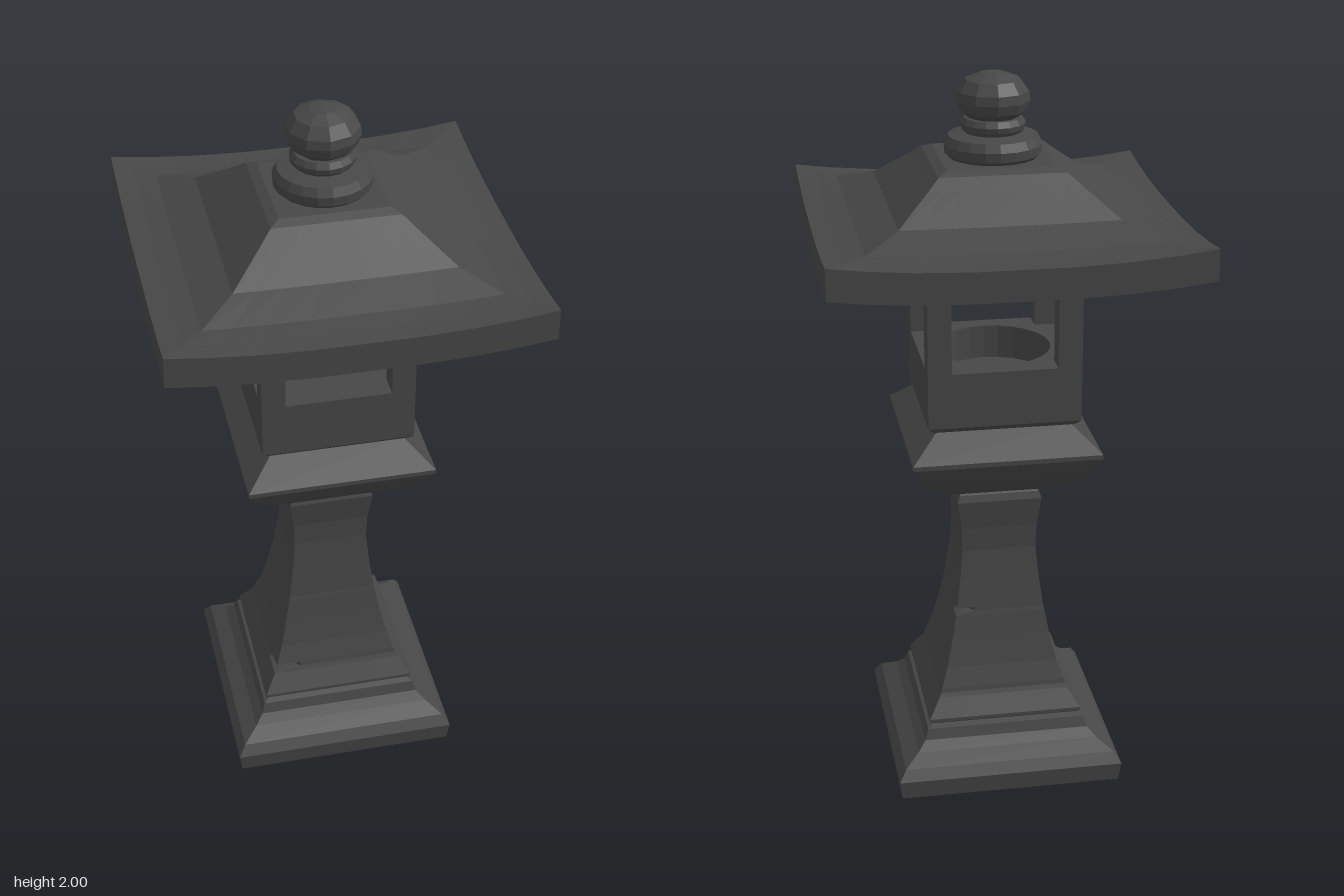
import * as THREE from 'three';

const stone = new THREE.MeshStandardMaterial({ color: 0x474747 });
stone.name = 'dark stone';

// Unshared corners give every facet a flat normal
function part(name, geometry, y = 0) {
  const flat = geometry.index ? geometry.toNonIndexed() : geometry;
  flat.computeVertexNormals();
  const mesh = new THREE.Mesh(flat, stone);
  mesh.name = name;
  mesh.position.y = y;
  return mesh;
}

// Square outline; steps are fractions along each side, lift raises the corners
function squareRing(half, y, lift = 0, steps = [-1], depth = 1) {
  const ring = [];
  for (let side = 0; side < 4; side++) {
    for (const t of steps) {
      const p = new THREE.Vector3(half * t, y + lift * Math.abs(t) ** 2.5, half);
      p.applyAxisAngle(new THREE.Vector3(0, 1, 0), side * Math.PI / 2);
      p.z *= depth;
      ring.push(p);
    }
  }
  return ring;
}

// Skin rings listed from the bottom up and close both ends
function loft(rings) {
  const n = rings[0].length, pos = [], index = [];
  rings.forEach(r => r.forEach(p => pos.push(p.x, p.y, p.z)));
  for (let i = 0; i < rings.length - 1; i++) {
    for (let j = 0; j < n; j++) {
      const k = (j + 1) % n, a = i * n, b = a + n;
      index.push(a + j, a + k, b + k, a + j, b + k, b + j);
    }
  }
  const last = (rings.length - 1) * n, low = rings.length * n;
  pos.push(0, rings[0][0].y, 0, 0, rings[rings.length - 1][0].y, 0);
  for (let j = 0; j < n; j++) {
    const k = (j + 1) % n;
    index.push(low, k, j, low + 1, last + j, last + k);
  }
  const g = new THREE.BufferGeometry();
  g.setAttribute('position', new THREE.Float32BufferAttribute(pos, 3));
  g.setIndex(index);
  return g;
}

const squareLoft = (profile, depth) => loft(profile.map(([h, y]) => squareRing(h, y, 0, [-1], depth)));

function turned(profile, sides) {
  return new THREE.LatheGeometry(profile.map(([r, y]) => new THREE.Vector2(r, y)), sides);
}

export function createModel() {
  const lantern = new THREE.Group();
  lantern.name = 'stoneLantern';

  // Stepped foot
  lantern.add(part('base', squareLoft([
    [0.313, 0], [0.32, 0.055], [0.3, 0.085], [0.258, 0.112], [0.235, 0.135], [0.225, 0.165], [0.205, 0.172],
  ], 1.03)));

  // Flared column, with a chip cut into two opposite corners
  const steps = [-1, -0.6, 0.6];
  const columnRings = [
    [0.205, 0.17], [0.218, 0.18], [0.218, 0.19], [0.186, 0.24], [0.18, 0.252], [0.177, 0.265],
    [0.158, 0.32], [0.14, 0.4], [0.128, 0.468], [0.125, 0.48], [0.124, 0.49], [0.112, 0.58],
    [0.105, 0.66], [0.107, 0.73], [0.119, 0.815], [0.112, 0.835], [0.105, 0.845],
  ].map(([h, y]) => {
    const ring = squareRing(h, y, 0, steps, 1.03);
    const chipped = y === 0.252 ? 0 : y === 0.48 ? 6 : -1; // front right, back left
    if (chipped >= 0) {
      ring[chipped].x *= 0.78;
      ring[chipped].z *= 0.78;
    }
    return ring;
  });
  lantern.add(part('column', loft(columnRings)));

  // Bowl-shaped platform
  lantern.add(part('platform', squareLoft([
    [0.11, 0.84], [0.145, 0.857], [0.185, 0.885], [0.222, 0.925], [0.245, 0.96],
    [0.26, 0.985], [0.26, 0.998], [0.185, 1.065],
  ], 1.03)));

  // Fire box: floor with a round pit, corner posts and lintel
  const box = new THREE.Group();
  box.name = 'fireBox';
  box.add(part('boxFoot', squareLoft([[0.182, 1.055], [0.195, 1.065], [0.21, 1.08], [0.21, 1.14]])));
  const floor = new THREE.Shape([[-1, -1], [1, -1], [1, 1], [-1, 1]].map(([x, y]) => new THREE.Vector2(x * 0.21, y * 0.21)));
  const pit = new THREE.Path();
  pit.absarc(0, 0, 0.16, 0, Math.PI * 2, true);
  floor.holes.push(pit);
  const floorGeometry = new THREE.ExtrudeGeometry(floor, { depth: 0.095, bevelEnabled: false, curveSegments: 12 });
  floorGeometry.rotateX(-Math.PI / 2);
  box.add(part('boxFloor', floorGeometry, 1.14));
  for (const x of [-1, 1]) {
    for (const z of [-1, 1]) {
      const post = part('post', new THREE.BoxGeometry(0.065, 0.24, 0.065), 1.35);
      post.position.x = x * 0.1775;
      post.position.z = z * 0.1775;
      box.add(post);
    }
  }
  box.add(part('lintel', new THREE.BoxGeometry(0.42, 0.065, 0.42), 1.5));
  lantern.add(box);

  // Roof with swept-up corners
  const roofSteps = [-1, -0.8, -0.55, -0.25, 0.25, 0.55, 0.8];
  lantern.add(part('roof', loft([
    [0.2, 1.527, 0], [0.495, 1.527, 0.027], [0.495, 1.61, 0.03], [0.44, 1.614, 0.018],
    [0.385, 1.623, 0.008], [0.29, 1.662, 0.003], [0.2, 1.738, 0], [0.17, 1.764, 0], [0.145, 1.775, 0],
  ].map(([h, y, lift]) => squareRing(h, y, lift, roofSteps)))));

  // Turned finial
  lantern.add(part('finialCollar', turned([
    [0.115, 1.77], [0.13, 1.785], [0.132, 1.81], [0.12, 1.832], [0.075, 1.84], [0, 1.84],
  ], 20)));
  lantern.add(part('finialRing', turned([
    [0.07, 1.835], [0.085, 1.85], [0.088, 1.865], [0.078, 1.88], [0, 1.882],
  ], 16)));
  lantern.add(part('finialKnob', turned([
    [0.065, 1.878], [0.09, 1.898], [0.1, 1.925], [0.097, 1.95], [0.075, 1.98], [0.035, 1.996], [0, 2],
  ], 10)));

  return lantern;
}
